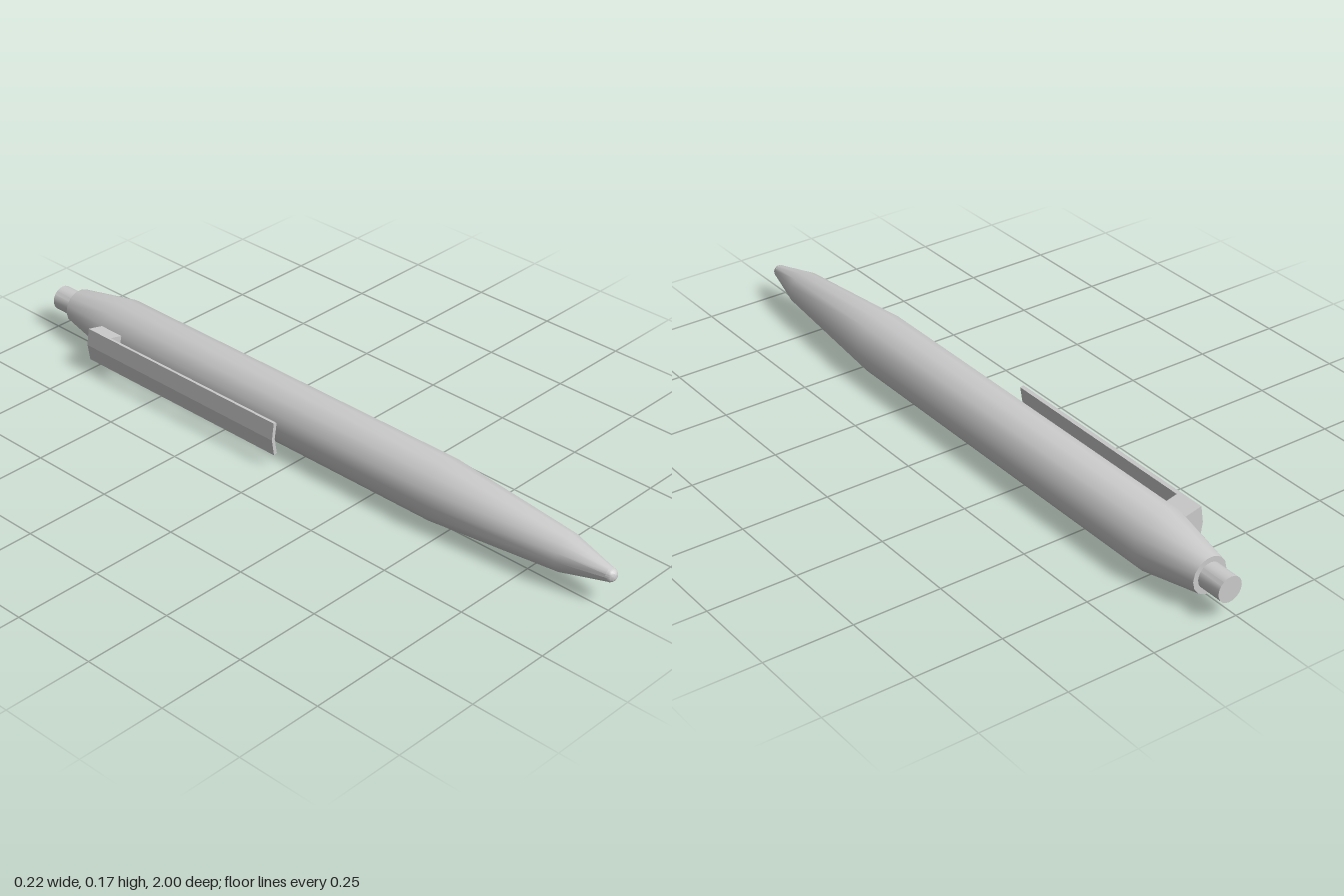
import * as THREE from 'three';
import { toCreasedNormals } from 'three/addons/utils/BufferGeometryUtils.js';

const SIDES = 14, RADIUS = 0.0865, AXIS_X = 0.0235, AXIS_Y = 0.0843;
const STEP = (Math.PI * 2) / SIDES;

export function createModel() {
  const pen = new THREE.Group();
  pen.name = 'pen';
  const material = new THREE.MeshStandardMaterial({ color: 0xcccccc });

  const add = (name, geometry) => {
    const mesh = new THREE.Mesh(geometry, material);
    mesh.name = name;
    mesh.position.set(AXIS_X, AXIS_Y, 0);
    pen.add(mesh);
  };

  // Turned part along z from [radius, z] pairs, running back to front
  const turned = (profile, sides) => {
    const points = profile.map(([r, z]) => new THREE.Vector2(r, z));
    const geometry = new THREE.LatheGeometry(points, sides, Math.PI / 2);
    geometry.rotateX(Math.PI / 2);
    return toCreasedNormals(geometry, 0.5);
  };

  // Barrel with tapered ends
  add('barrel', turned([
    [0, -0.927], [0.0515, -0.927], [RADIUS, -0.745], [RADIUS, 0.45],
    [0.052, 0.85], [0.0195, 0.98], [0, 0.98],
  ], SIDES));

  // Rounded writing tip
  const dome = [];
  for (let i = 0; i <= 5; i++) {
    const a = (i / 5) * Math.PI / 2;
    dome.push([0.0195 * Math.cos(a), 0.98 + 0.02 * Math.sin(a)]);
  }
  add('tip', turned(dome, 24));

  // Push button at the back
  add('pushButton', turned([[0, -1], [0.036, -1], [0.036, -0.92]], 20));

  // Bent band following two barrel facets, between two heights above them
  const band = (low, high, z0, z1) => {
    const corner = (side, d) => side === 0
      ? new THREE.Vector2(-RADIUS - 0.95 * d, 0)
      : new THREE.Vector2(
        -RADIUS * Math.cos(STEP) - d * Math.cos(STEP / 2),
        side * (RADIUS * Math.sin(STEP) + d * Math.sin(STEP / 2)));
    const shape = new THREE.Shape([
      ...[1, 0, -1].map((s) => corner(s, high)),
      ...[-1, 0, 1].map((s) => corner(s, low)),
    ]);
    const geometry = new THREE.ExtrudeGeometry(shape, { depth: z1 - z0, bevelEnabled: false });
    return geometry.translate(0, 0, z0);
  };

  // Pocket clip: mounting block and long strip
  add('clipMount', band(-0.006, 0.039, -0.745, -0.665));
  add('clipStrip', band(0.039, 0.05, -0.745, -0.025));

  return pen;
}
